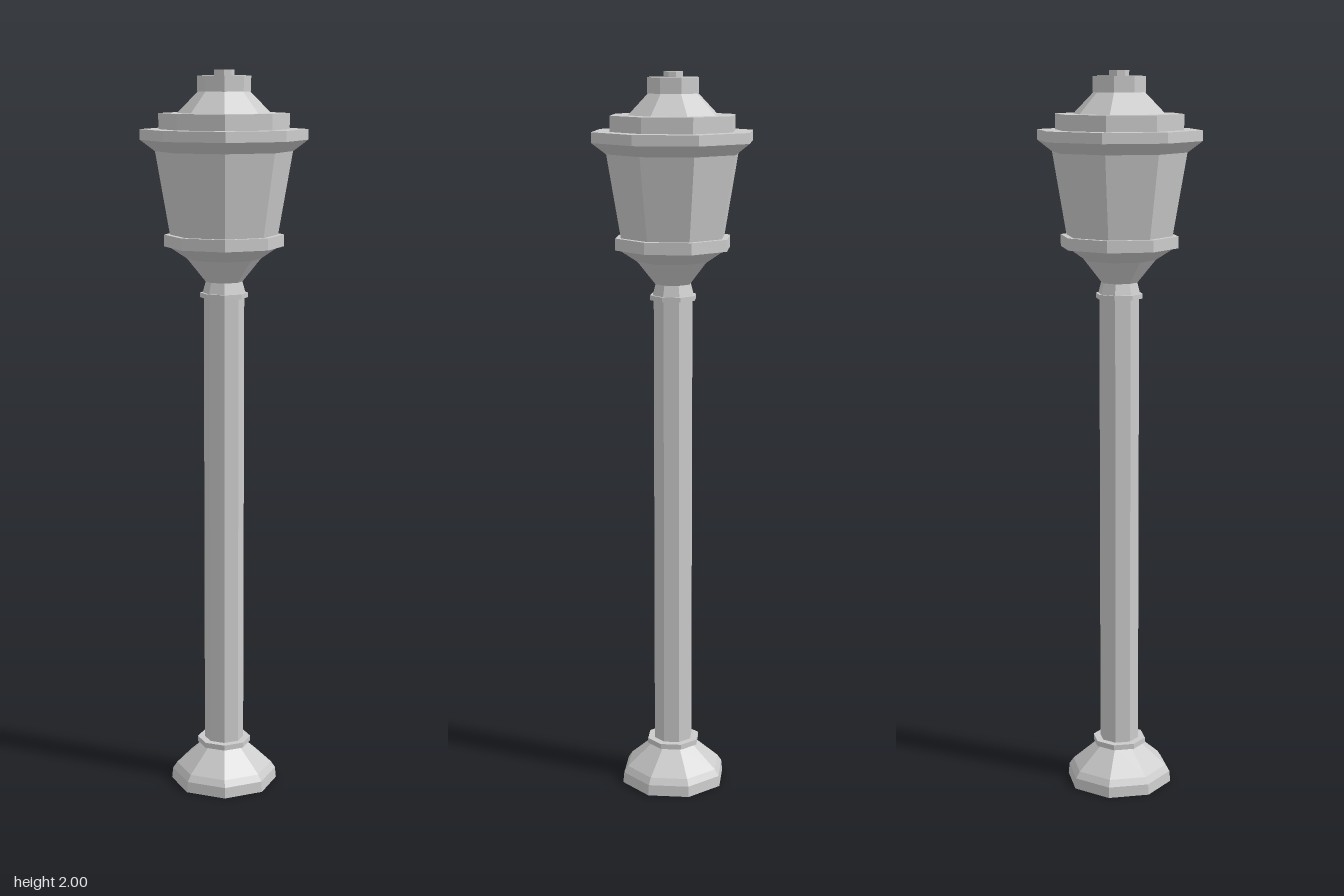
import * as THREE from 'three';

const SIDES = 8;

export function createModel() {
  const group = new THREE.Group();
  const material = new THREE.MeshStandardMaterial({ color: 0xcccccc, flatShading: true });

  // Octagonal part turned from [radius, height] pairs listed bottom to top
  function turned(name, profile) {
    const points = profile.map(([r, y]) => new THREE.Vector2(r, y));
    const mesh = new THREE.Mesh(new THREE.LatheGeometry(points, SIDES), material);
    mesh.name = name;
    group.add(mesh);
  }

  // Straight octagonal slab
  const slab = (name, r, y0, y1) => turned(name, [[0, y0], [r, y0], [r, y1], [0, y1]]);

  // Foot and post
  turned('base', [[0, 0], [0.15, 0], [0.147, 0.03], [0.135, 0.048], [0.062, 0.112], [0, 0.112]]);
  slab('lowerCollar', 0.075, 0.112, 0.127);
  slab('post', 0.055, 0.127, 1.395);
  slab('upperCollar', 0.065, 1.395, 1.408);

  // Lantern holder
  turned('neck', [[0, 1.408], [0.058, 1.408], [0.05, 1.438], [0.1, 1.5], [0.15, 1.533], [0, 1.533]]);
  slab('lanternRim', 0.162, 1.533, 1.565);

  // Tapered glass housing
  turned('lantern', [[0, 1.565], [0.146, 1.565], [0.185, 1.79], [0, 1.79]]);

  // Stepped roof
  turned('eaves', [[0, 1.787], [0.185, 1.787], [0.225, 1.817], [0.225, 1.845], [0, 1.845]]);
  slab('roofStep', 0.175, 1.845, 1.887);
  turned('roof', [[0, 1.887], [0.125, 1.887], [0.07, 1.943], [0, 1.943]]);
  slab('roofCap', 0.072, 1.943, 1.985);
  slab('finial', 0.027, 1.985, 2.0);

  return group;
}
